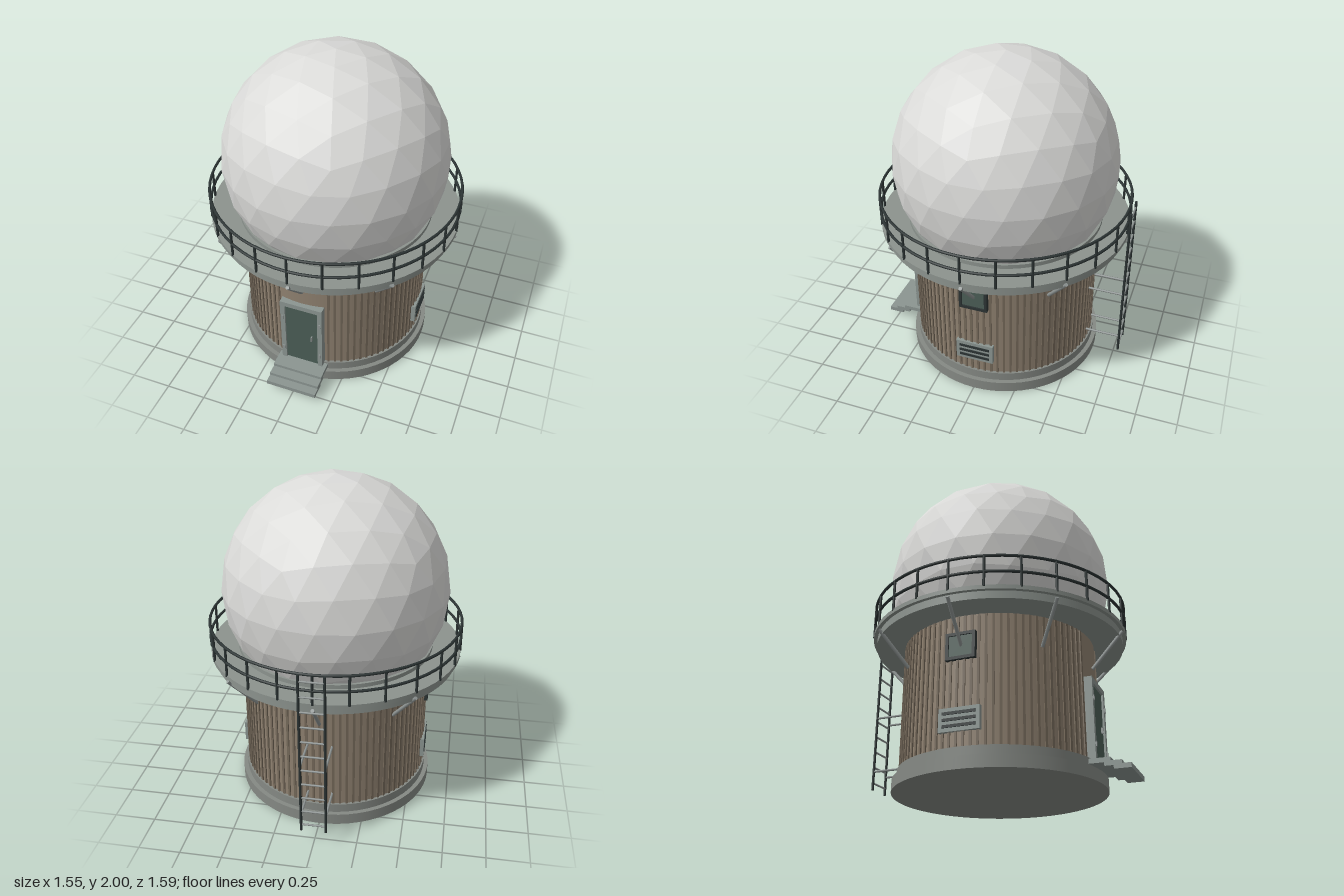
import * as THREE from 'three';
import { mergeGeometries } from 'three/addons/utils/BufferGeometryUtils.js';

const mat = (name, color) => {
  const m = new THREE.MeshStandardMaterial({ color });
  m.name = name;
  return m;
};

export function createModel() {
  const M = {
    dome: mat('dome white', 0xdadad8),
    concrete: mat('concrete grey', 0x858984),
    deck: mat('deck grey', 0x8c938e),
    wall: mat('wall tan', 0x8f8170),
    rib: mat('rib brown', 0x75695a),
    trim: mat('trim grey', 0x8b9591),
    green: mat('door green', 0x4b5e56),
    dark: mat('dark steel', 0x2c3434),
    steel: mat('steel grey', 0x8f9594),
  };
  const root = new THREE.Group();
  root.name = 'radarTower';

  const add = (name, geo, material, parent = root) => {
    const mesh = new THREE.Mesh(geo, material);
    mesh.name = name;
    parent.add(mesh);
    return mesh;
  };
  // Box given by its centre
  const box = (w, h, d, x, y, z) => new THREE.BoxGeometry(w, h, d).translate(x, y, z);
  // Disc from y0 to y1
  const drum = (r, y0, y1) => new THREE.CylinderGeometry(r, r, y1 - y0, 64).translate(0, (y0 + y1) / 2, 0);
  // Round bar between two points
  const bar = (a, b, r) => {
    const p = new THREE.Vector3(...a), q = new THREE.Vector3(...b);
    const dir = q.clone().sub(p);
    const geo = new THREE.CylinderGeometry(r, r, dir.length(), 8);
    geo.applyQuaternion(new THREE.Quaternion().setFromUnitVectors(new THREE.Vector3(0, 1, 0), dir.normalize()));
    return geo.translate(...p.add(q).multiplyScalar(0.5).toArray());
  };
  // Copies of a part around the tower
  const around = (count, make, keep = () => true) => {
    const list = [];
    for (let i = 0; i < count; i++) {
      const a = (i / count) * Math.PI * 2;
      if (keep(a)) list.push(make().rotateY(a));
    }
    return mergeGeometries(list);
  };

  // Foundation
  add('foundation', drum(0.615, 0, 0.07), M.concrete);
  add('plinth', drum(0.588, 0.07, 0.125), M.concrete);

  // Ribbed wall, left plain around the door
  add('wall', drum(0.572, 0.125, 0.875), M.wall);
  add('wallRibs', around(90, () => box(0.014, 0.745, 0.012, 0, 0.4975, 0.573),
    (a) => Math.cos(a) < Math.cos(0.24)), M.rib);

  // Platform
  add('platformRing', drum(0.748, 0.873, 0.918), M.deck);
  add('platformDeck', drum(0.77, 0.918, 0.943), M.deck);
  add('platformStruts', around(8, () => bar([0, 0.69, 0.575], [0, 0.9, 0.765], 0.011)), M.steel);

  // Faceted dome with a vertex at the top, open below the deck
  const ico = new THREE.IcosahedronGeometry(0.685, 3);
  ico.rotateZ(-Math.atan(2 / (1 + Math.sqrt(5)))).translate(0, 1.315, 0);
  const p = ico.attributes.position, kept = [];
  for (let i = 0; i < p.count; i += 3) {
    if (Math.max(p.getY(i), p.getY(i + 1), p.getY(i + 2)) < 0.93) continue;
    for (let k = i; k < i + 3; k++) kept.push(p.getX(k), p.getY(k), p.getZ(k));
  }
  const domeGeo = new THREE.BufferGeometry();
  domeGeo.setAttribute('position', new THREE.Float32BufferAttribute(kept, 3));
  domeGeo.computeVertexNormals();
  add('dome', domeGeo, M.dome);
  add('domeCollar', drum(0.6, 0.943, 0.968), M.deck);

  // Railing
  const railing = new THREE.Group();
  railing.name = 'railing';
  root.add(railing);
  for (const [name, y] of [['topRail', 1.122], ['middleRail', 1.025]]) {
    add(name, new THREE.TorusGeometry(0.767, 0.0085, 8, 64).rotateX(Math.PI / 2).translate(0, y, 0), M.dark, railing);
  }
  add('railPosts', around(24, () => bar([0, 0.935, 0.767], [0, 1.122, 0.767], 0.008)), M.dark, railing);

  // Door
  const door = new THREE.Group();
  door.name = 'door';
  root.add(door);
  const frame = mergeGeometries([
    box(0.03, 0.485, 0.06, -0.12, 0.3525, 0.572),
    box(0.03, 0.485, 0.06, 0.12, 0.3525, 0.572),
    box(0.21, 0.032, 0.06, 0, 0.579, 0.572),
  ]);
  add('doorFrame', frame, M.trim, door);
  add('doorPanel', box(0.21, 0.45, 0.04, 0, 0.338, 0.57), M.green, door);
  add('doorHandle', box(0.008, 0.035, 0.016, 0.065, 0.335, 0.597), M.steel, door);
  const hinges = [];
  for (const x of [-0.12, 0.12]) for (const y of [0.205, 0.47]) hinges.push(box(0.012, 0.03, 0.008, x, y, 0.604));
  add('doorHinges', mergeGeometries(hinges), M.steel, door);

  // Steps
  const steps = [[0.56, 0.685, 0.115], [0.65, 0.745, 0.095], [0.7, 0.795, 0.075]];
  steps.forEach(([z0, z1, top], i) => {
    add('step' + (i + 1), box(0.32, 0.027, z1 - z0, 0, top - 0.0135, (z0 + z1) / 2), M.trim);
  });

  // Window and vent on each side
  for (const [side, turn] of [['left', Math.PI / 2], ['right', -Math.PI / 2]]) {
    const g = new THREE.Group();
    g.name = side + 'SideFittings';
    g.rotation.y = turn;
    root.add(g);
    const edges = mergeGeometries([
      box(0.175, 0.018, 0.05, 0, 0.76, 0.567), box(0.175, 0.018, 0.05, 0, 0.62, 0.567),
      box(0.018, 0.122, 0.05, -0.0785, 0.69, 0.567), box(0.018, 0.122, 0.05, 0.0785, 0.69, 0.567),
    ]);
    add('windowFrame', edges, M.dark, g);
    add('windowGlass', box(0.139, 0.122, 0.03, 0, 0.69, 0.569), M.green, g);
    add('ventPlate', box(0.235, 0.13, 0.04, 0, 0.275, 0.567), M.trim, g);
    const slots = [0.24, 0.275, 0.31].map((y) => box(0.19, 0.016, 0.008, 0, y, 0.588));
    add('ventSlots', mergeGeometries(slots), M.dark, g);
  }

  // Ladder at the back
  const ladder = new THREE.Group();
  ladder.name = 'ladder';
  root.add(ladder);
  const rails = [], standoffs = [], rungs = [];
  for (const x of [-0.073, 0.073]) {
    rails.push(bar([x, 0.088, -0.79], [x, 1.13, -0.79], 0.008));
    for (const y of [0.2, 0.537]) standoffs.push(bar([x, y, -0.56], [x, y, -0.79], 0.007));
  }
  for (let i = 0; i < 11; i++) rungs.push(bar([-0.073, 0.13 + i * 0.096, -0.79], [0.073, 0.13 + i * 0.096, -0.79], 0.006));
  add('ladderRails', mergeGeometries(rails), M.dark, ladder);
  add('ladderRungs', mergeGeometries(rungs), M.steel, ladder);
  add('ladderStandoffs', mergeGeometries(standoffs), M.steel, ladder);

  return root;
}
